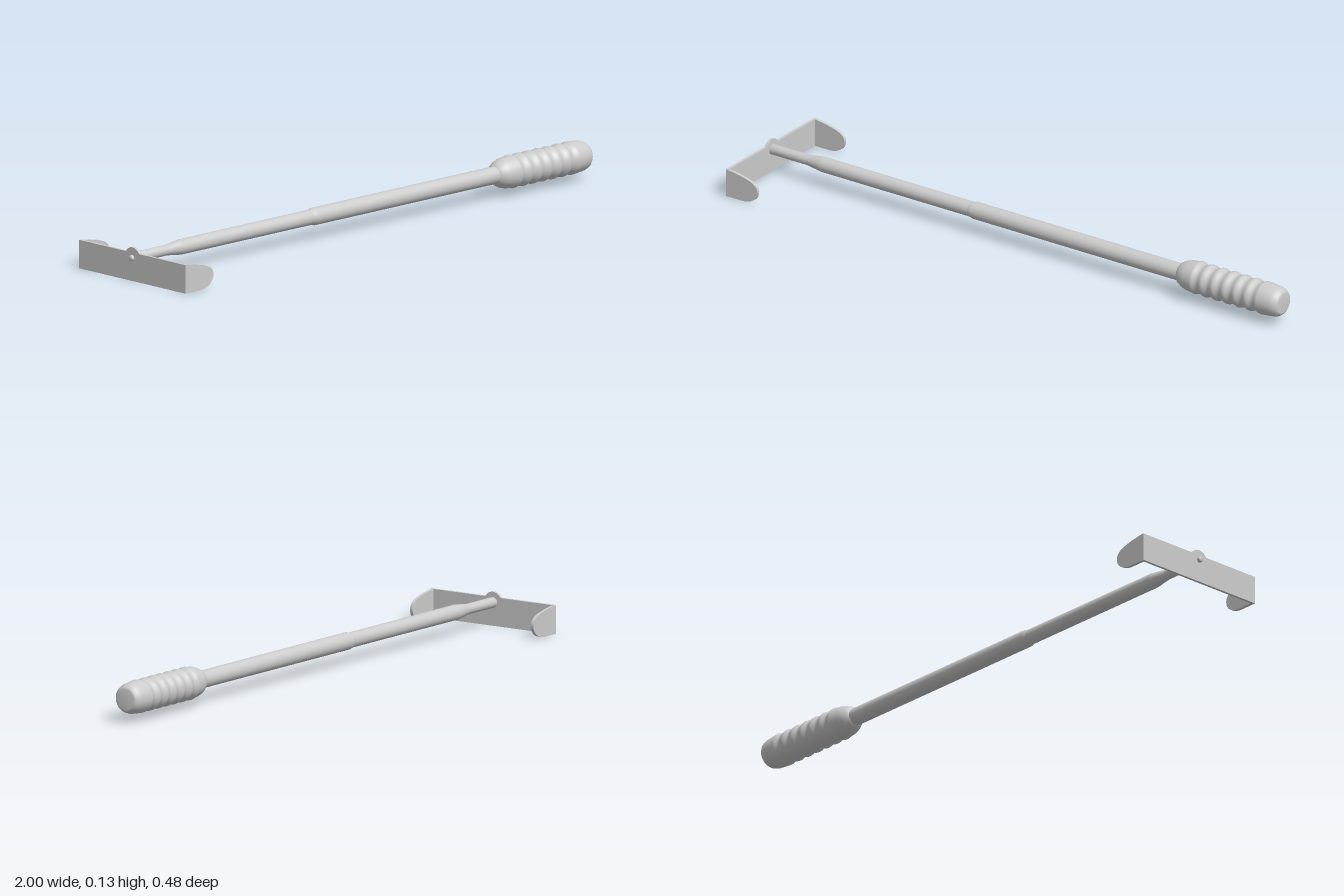
import * as THREE from 'three';

const AXIS_Y = 0.075;
const material = new THREE.MeshStandardMaterial({ color: 0xcccccc, side: THREE.DoubleSide });

function addMesh(parent, name, geometry) {
  const mesh = new THREE.Mesh(geometry, material);
  mesh.name = name;
  parent.add(mesh);
  return mesh;
}

// Turned part along x; profile is a list of [x, radius].
function turned(parent, name, profile) {
  const points = profile.map(([x, r]) => new THREE.Vector2(r, x));
  const geometry = new THREE.LatheGeometry(points, 40);
  geometry.rotateZ(-Math.PI / 2);
  geometry.translate(0, AXIS_Y, 0);
  return addMesh(parent, name, geometry);
}

export function createModel() {
  const model = new THREE.Group();
  model.name = 'extendableTool';

  // Telescoping rod: three sections, each with a short shoulder
  turned(model, 'thinRod', [[-0.985, 0], [-0.985, 0.017], [-0.78, 0.017]]);
  turned(model, 'middleTube', [[-0.84, 0.017], [-0.79, 0.0235], [-0.78, 0.0245], [-0.19, 0.0245]]);
  turned(model, 'outerTube', [[-0.21, 0.0245], [-0.195, 0.028], [0.62, 0.028]]);

  // Handle grip with rounded ridges
  const grip = [[0.6, 0.027], [0.607, 0.036], [0.622, 0.044], [0.64, 0.049], [0.66, 0.051]];
  const ridges = 6, start = 0.67, pitch = 0.043, steps = 10;
  for (let i = 0; i <= ridges * steps; i++) {
    const t = i / steps;
    grip.push([start + pitch * t, 0.0505 + 0.003 * Math.cos(t * Math.PI * 2)]);
  }
  grip.push([0.955, 0.051], [0.975, 0.049], [0.988, 0.045], [0.996, 0.039], [1, 0.032], [1, 0]);
  turned(model, 'grip', grip);

  // Cross plate with a rounded mounting tab
  const plate = addMesh(model, 'crossPlate', new THREE.BoxGeometry(0.009, 0.092, 0.478));
  plate.position.set(-0.985, 0.046, 0);
  const tab = addMesh(model, 'mountingTab', new THREE.CylinderGeometry(0.034, 0.034, 0.009, 32));
  tab.rotation.z = Math.PI / 2;
  tab.position.set(-0.985, AXIS_Y, 0);
  turned(model, 'rivet', [[-1, 0], [-1, 0.006], [-0.997, 0.009], [-0.985, 0.009]]);

  // Rounded side wings, bent forward from both ends of the plate
  const outline = new THREE.Shape();
  outline.moveTo(-0.9895, 0);
  outline.lineTo(-0.925, 0);
  outline.bezierCurveTo(-0.89, 0.002, -0.867, 0.018, -0.867, 0.043);
  outline.bezierCurveTo(-0.867, 0.064, -0.885, 0.073, -0.915, 0.08);
  outline.quadraticCurveTo(-0.95, 0.089, -0.9895, 0.092);
  outline.closePath();
  const wing = new THREE.ExtrudeGeometry(outline, { depth: 0.01, bevelEnabled: false, curveSegments: 16 });
  addMesh(model, 'leftWing', wing).position.z = 0.229;
  addMesh(model, 'rightWing', wing).position.z = -0.239;

  return model;
}
